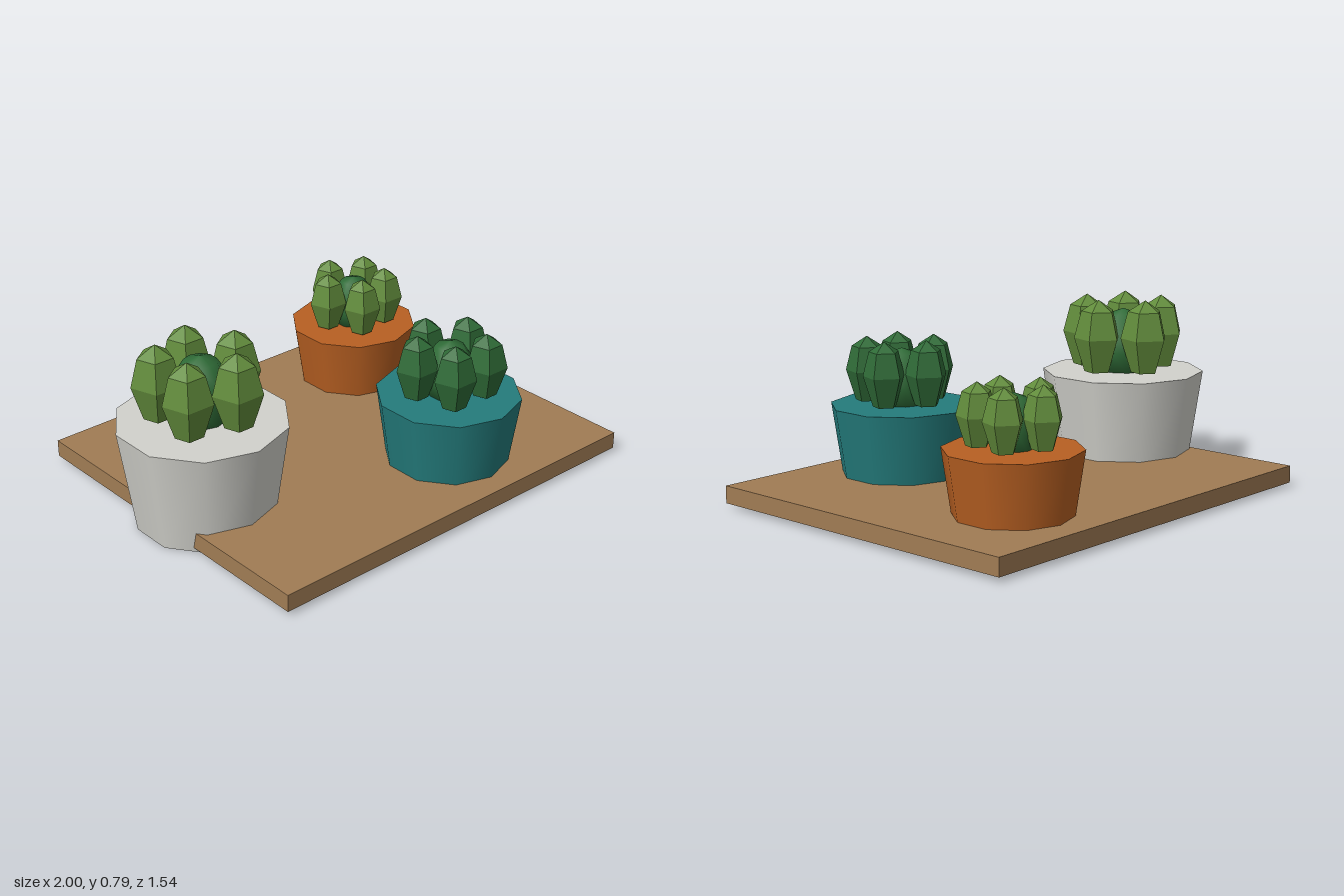
import * as THREE from 'three';

const paint = (color, flatShading = false) =>
  new THREE.MeshStandardMaterial({ color, flatShading });

function addMesh(parent, name, geometry, material, x = 0, y = 0, z = 0) {
  const mesh = new THREE.Mesh(geometry, material);
  mesh.name = name;
  mesh.position.set(x, y, z);
  parent.add(mesh);
  return mesh;
}

const lathe = (points, sides, phase = 0) =>
  new THREE.LatheGeometry(points.map(([r, y]) => new THREE.Vector2(r, y)), sides, phase);

// Full-size dimensions; smaller plants scale these uniformly
const POT_HEIGHT = 0.455, LOBES = 5, LOBE_RING = 0.175;
const potGeometry = new THREE.CylinderGeometry(0.36, 0.293, POT_HEIGHT, 10);
// Five-sided lobe with a ridge pointing to the back
const lobeGeometry = lathe(
  [[0, 0.015], [0.06, 0.015], [0.107, 0.165], [0.076, 0.285], [0, 0.335]], LOBES, Math.PI);
const coreGeometry = lathe(
  [[0, -0.01], [0.1, -0.01], [0.125, 0.09], [0.117, 0.18], [0.07, 0.255], [0, 0.28]], 10);

function makePlant(name, { x, z, scale, potColor, lobeColor, phase }) {
  const plant = new THREE.Group();
  plant.name = name;
  addMesh(plant, 'pot', potGeometry, paint(potColor), 0, POT_HEIGHT / 2, 0);

  const cactus = new THREE.Group();
  cactus.name = 'cactus';
  cactus.position.y = POT_HEIGHT;
  addMesh(cactus, 'cactusCore', coreGeometry, paint(0x2f6b37));

  // Ring of lobes, all facing the same way
  const lobeMaterial = paint(lobeColor, true);
  for (let i = 0; i < LOBES; i++) {
    const a = THREE.MathUtils.degToRad(phase) + (i / LOBES) * Math.PI * 2;
    addMesh(cactus, 'cactusLobe', lobeGeometry, lobeMaterial,
      LOBE_RING * Math.cos(a), 0, LOBE_RING * Math.sin(a));
  }
  plant.add(cactus);
  plant.position.set(x, 0, z);
  plant.scale.setScalar(scale);
  return plant;
}

export function createModel() {
  const model = new THREE.Group();
  model.name = 'cactusTray';

  // Wooden board, slightly above the pot bottoms
  addMesh(model, 'board', new THREE.BoxGeometry(1.865, 0.075, 1.545), paint(0xa07c54), 0.0675, 0.0575, 0);

  model.add(
    makePlant('whitePlant', { x: -0.657, z: 0, scale: 1, potColor: 0xd2d2cc, lobeColor: 0x628c3c, phase: 0 }),
    makePlant('tealPlant', { x: 0.325, z: 0.412, scale: 0.86, potColor: 0x247c7c, lobeColor: 0x2f6b37, phase: -17 }),
    makePlant('orangePlant', { x: 0.533, z: -0.415, scale: 0.788, potColor: 0xb86022, lobeColor: 0x628c3c, phase: -28 }),
  );
  return model;
}
